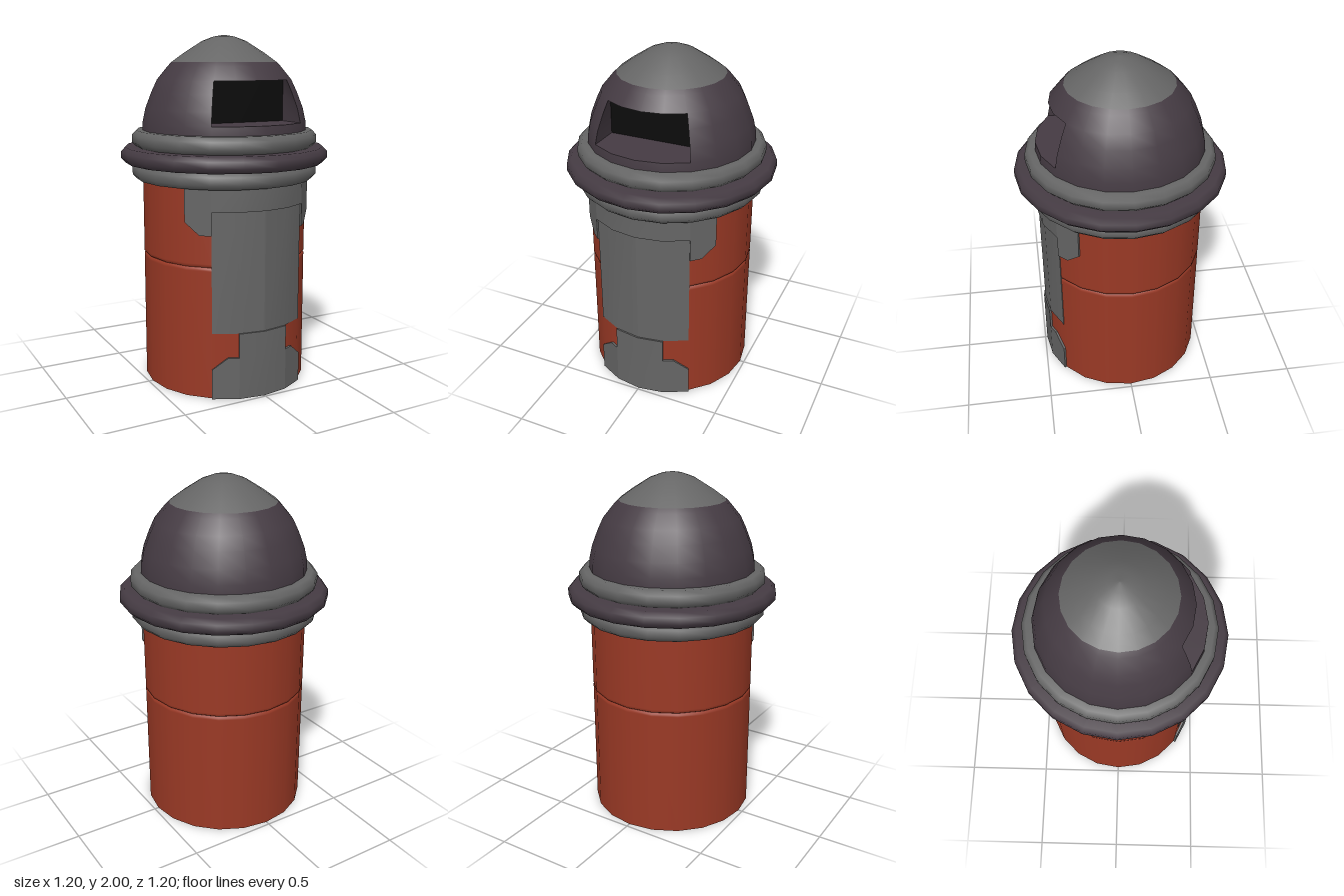
import * as THREE from 'three';

const SIDES = 20;
const STEP = (Math.PI * 2) / SIDES;

const material = (name, color, side = THREE.FrontSide) => {
  const m = new THREE.MeshStandardMaterial({ color, side });
  m.name = name;
  return m;
};

// Point on a 20-sided ring; u counts facets away from the front centre
function onRing(u, r, y) {
  const k = Math.floor(u), t = u - k;
  const corner = (i) => new THREE.Vector3(r * Math.sin(i * STEP), y, r * Math.cos(i * STEP));
  return corner(k).lerp(corner(k + 1), t);
}

// Surface between two point rows; faces forward when row a is below row b
function strip(a, b) {
  const index = [];
  for (let i = 0; i < a.length - 1; i++) {
    const n = a.length;
    index.push(i, i + 1, n + i + 1, i, n + i + 1, n + i);
  }
  const g = new THREE.BufferGeometry().setFromPoints([...a, ...b]);
  g.setIndex(index);
  g.computeVertexNormals();
  return g;
}

const lathe = (points) =>
  new THREE.LatheGeometry(points.map(([r, y]) => new THREE.Vector2(r, y)), SIDES);

export function createModel() {
  const red = material('brick red', 0x9a3925);
  const gray = material('metal gray', 0x656565, THREE.DoubleSide);
  const plum = material('dark plum', 0x453b43, THREE.DoubleSide);
  const black = material('opening black', 0x0b0b0b);

  const model = new THREE.Group();
  model.name = 'litterBin';
  const add = (name, geometry, mat, parent = model) => {
    const mesh = new THREE.Mesh(geometry, mat);
    mesh.name = name;
    parent.add(mesh);
    return mesh;
  };

  // Curved plate wrapped on the body; columns are [u, bottom, top]
  function plate(name, columns, r) {
    const group = new THREE.Group();
    group.name = name;
    const row = (radius, k) => columns.map((c) => onRing(c[0], radius, c[k]));
    const loop = (radius) => {
      const pts = [...row(radius, 1), ...row(radius, 2).reverse()];
      return [...pts, pts[0]];
    };
    add(name + 'Face', strip(row(r, 1), row(r, 2)), gray, group);
    add(name + 'Rim', strip(loop(0.468), loop(r)).toNonIndexed(), gray, group)
      .geometry.computeVertexNormals();
    model.add(group);
  }

  // Two-part body with a thin groove between
  add('lowerBody', lathe([[0.475, 0], [0.475, 0.73], [0.475, 0.743], [0.466, 0.75]]), red);
  add('upperBody', lathe([[0.466, 0.75], [0.475, 0.757], [0.475, 0.77], [0.475, 1.2]]), red);
  const base = add('base', new THREE.CircleGeometry(0.475, SIDES), gray);
  base.rotation.x = Math.PI / 2;

  // Collar rings
  const ring = (name, r, y0, y1, mat) => add(name, lathe([
    [0.44, y0], [r - 0.025, y0], [r, y0 + 0.026], [r, y1 - 0.026], [r - 0.025, y1], [0.44, y1],
  ]), mat);
  ring('lowerRing', 0.535, 1.185, 1.28, gray);
  ring('middleRing', 0.6, 1.28, 1.37, plum);
  ring('upperRing', 0.535, 1.37, 1.465, gray);

  // Front frame, door leaves and foot panel
  const side = [[-3, 1.0, 1.19], [-2.45, 0.93, 1.19], [-2, 0.93, 1.19]];
  const mirror = (cols) => cols.map(([u, a, b]) => [-u, a, b]).reverse();
  const lintel = [-2, -1, 0, 1, 2].map((u) => [u, 1.06, 1.19]);
  plate('doorFrame', [...side, ...lintel, ...mirror(side)], 0.488);
  plate('rightDoor', [-2, -1, 0].map((u) => [u, 0.38, 1.06]), 0.479);
  plate('leftDoor', [0, 1, 2].map((u) => [u, 0.38, 1.06]), 0.479);
  const foot = [[-2, 0, 0.17], [-1.4, 0, 0.24], [-1, 0, 0.24], [-1, 0, 0.38]];
  plate('footPanel', [...foot, [0, 0, 0.38], ...mirror(foot)], 0.488);

  // Dome with four facets left open at the front
  const profile = [[0.475, 1.46], [0.472, 1.515], [0.455, 1.59], [0.42, 1.68],
    [0.387, 1.75], [0.325, 1.825], [0.302, 1.848]];
  const dome = lathe(profile);
  const perSide = profile.length - 1;
  const kept = [];
  for (let i = 0; i < SIDES; i++) {
    for (let j = 0; j < perSide; j++) {
      if ((i < 2 || i >= SIDES - 2) && j >= 1 && j <= 3) continue;
      const at = (i * perSide + j) * 6;
      kept.push(...dome.index.array.slice(at, at + 6));
    }
  }
  dome.setIndex(kept);
  add('dome', dome, plum);
  add('domeCap', lathe([[0.302, 1.848], [0.23, 1.9], [0.127, 1.965], [0.06, 1.99], [0, 2]]), gray);

  // Recess behind the opening
  const us = [-2, -1, 0, 1, 2];
  const edge = profile.slice(1, 5);
  const [lowR, lowY] = edge[0], [highR, highY] = edge[3];
  const back = (y) => us.map((u) => new THREE.Vector3(u * 0.1375, y, 0.2));
  const arc = (r, y) => us.map((u) => onRing(u, r, y));
  add('openingShelf', strip(arc(lowR, lowY), back(lowY)), plum);
  add('openingCeiling', strip(back(highY), arc(highR, highY)), plum);
  add('openingBack', strip(back(lowY), back(highY)), black);
  for (const s of [-1, 1]) {
    const outer = edge.map(([r, y]) => onRing(2 * s, r, y));
    const inner = edge.map(([, y]) => new THREE.Vector3(0.275 * s, y, 0.2));
    add(s < 0 ? 'openingRightWall' : 'openingLeftWall',
      s < 0 ? strip(inner, outer) : strip(outer, inner), plum);
  }

  return model;
}
